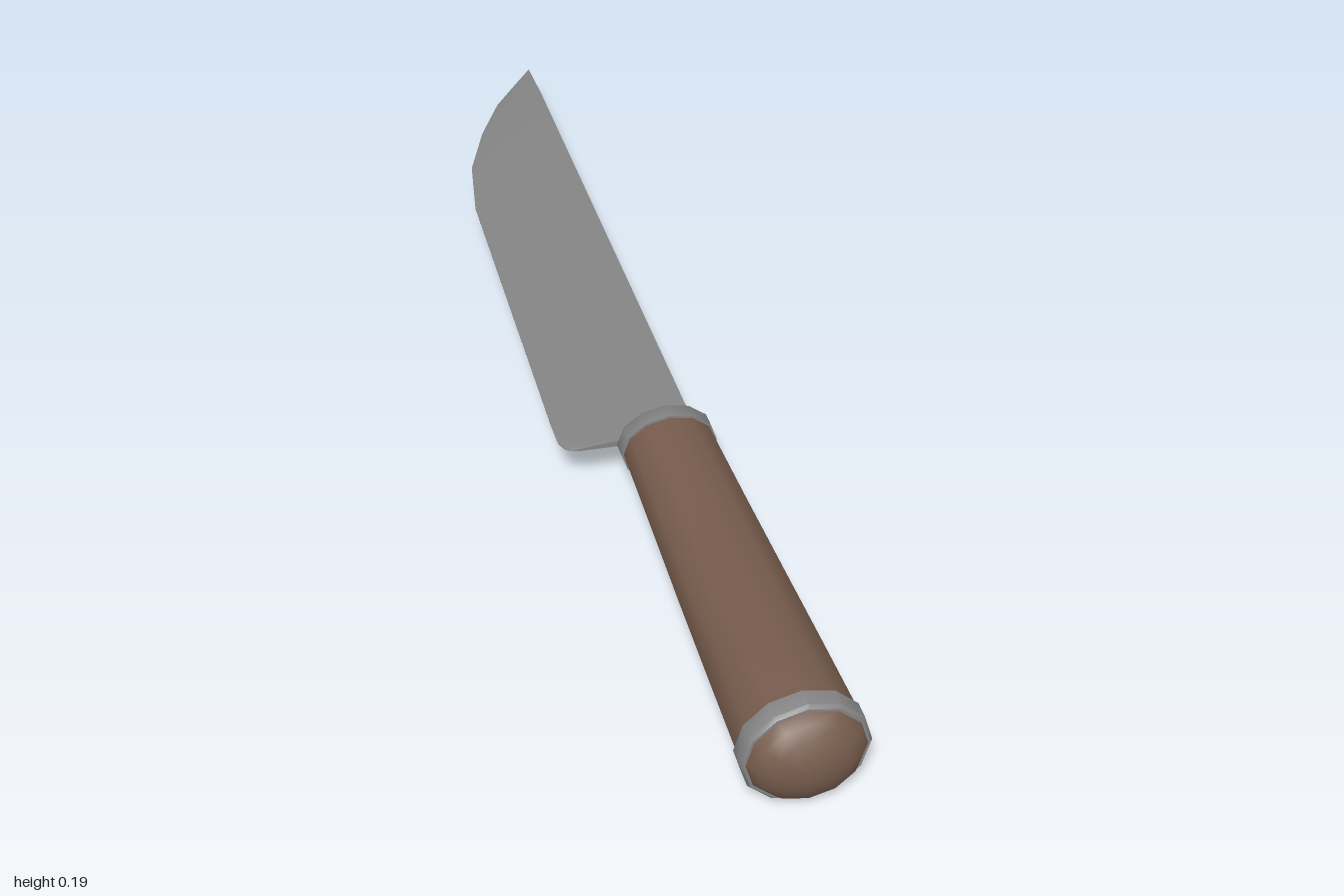
import * as THREE from 'three';
import { toCreasedNormals } from 'three/addons/utils/BufferGeometryUtils.js';

const AXIS_X = 0.035, AXIS_Y = 0.098;

// Skin a row of equal-length rings (ordered by rising z) and close both ends.
function loft(rings, crease) {
  const n = rings[0].length, pos = [], index = [];
  rings.forEach(r => r.forEach(p => pos.push(...p)));
  for (let s = 0; s < rings.length - 1; s++) {
    for (let i = 0; i < n; i++) {
      const j = (i + 1) % n, a = s * n, b = a + n;
      index.push(a + i, a + j, b + j, a + i, b + j, b + i);
    }
  }
  [0, rings.length - 1].forEach((s, end) => {
    const c = pos.length / 3;
    pos.push(...[0, 1, 2].map(k => rings[s].reduce((t, p) => t + p[k], 0) / n));
    for (let i = 0; i < n; i++) {
      const a = s * n + i, b = s * n + (i + 1) % n;
      if (end) index.push(c, a, b); else index.push(c, b, a);
    }
  });
  const g = new THREE.BufferGeometry();
  g.setAttribute('position', new THREE.Float32BufferAttribute(pos, 3));
  g.setIndex(index);
  return toCreasedNormals(g, crease);
}

// Twelve-sided oval ring around the handle axis.
function oval([z, rx, ry]) {
  return Array.from({ length: 12 }, (_, i) => {
    const a = i * Math.PI / 6;
    return [AXIS_X + rx * Math.cos(a), AXIS_Y + ry * Math.sin(a), z];
  });
}

// Blade section from the thick spine to the thin cutting edge.
function bladeSection([z, edge, spineHalf]) {
  const spine = 0.09, w = spine - edge;
  const top = [[spine, spineHalf], [spine - 0.7 * w, spineHalf * 0.65],
    [edge + 0.05 * w, spineHalf * 0.3], [edge, spineHalf * 0.1]];
  const bottom = top.map(([x, h]) => [x, -h]).reverse();
  return [...top, ...bottom].map(([x, h]) => [x, AXIS_Y + h, z]);
}

export function createModel() {
  const group = new THREE.Group();
  const wood = new THREE.MeshStandardMaterial({ color: 0x775c4d });
  wood.name = 'brown wood';
  const steel = new THREE.MeshStandardMaterial({ color: 0x848484 });
  steel.name = 'grey steel';

  const add = (name, geometry, material) => {
    const mesh = new THREE.Mesh(geometry, material);
    mesh.name = name;
    group.add(mesh);
  };

  // Flared grip with a domed butt
  add('handle', loft([
    [0.163, 0.07, 0.054], [0.175, 0.078, 0.061], [0.21, 0.079, 0.062],
    [0.4, 0.085, 0.065], [0.58, 0.091, 0.071], [0.76, 0.096, 0.082],
    [0.92, 0.1, 0.091], [0.95, 0.098, 0.089], [0.97, 0.083, 0.076],
    [0.985, 0.062, 0.056], [0.996, 0.034, 0.031], [1.0, 0.01, 0.009],
  ].map(oval), 0.75), wood);

  // Metal bands at both ends of the grip
  add('frontBand', loft([
    [0.172, 0.079, 0.062], [0.178, 0.083, 0.066], [0.206, 0.083, 0.066],
  ].map(oval), 0.75), steel);
  add('buttBand', loft([
    [0.917, 0.104, 0.097], [0.947, 0.104, 0.097], [0.953, 0.1, 0.092],
  ].map(oval), 0.75), steel);

  // Blade with a straight spine and a curved edge
  add('blade', loft([
    [-1.0, 0.089, 0.001], [-0.945, 0.044, 0.005], [-0.89, 0.0, 0.008],
    [-0.8, -0.051, 0.008], [-0.69, -0.097, 0.008], [-0.56, -0.12, 0.008],
    [0.1, -0.142, 0.008], [0.15, -0.142, 0.008], [0.168, -0.134, 0.008],
    [0.175, -0.118, 0.008],
  ].map(bladeSection), 0.3), steel);

  return group;
}
